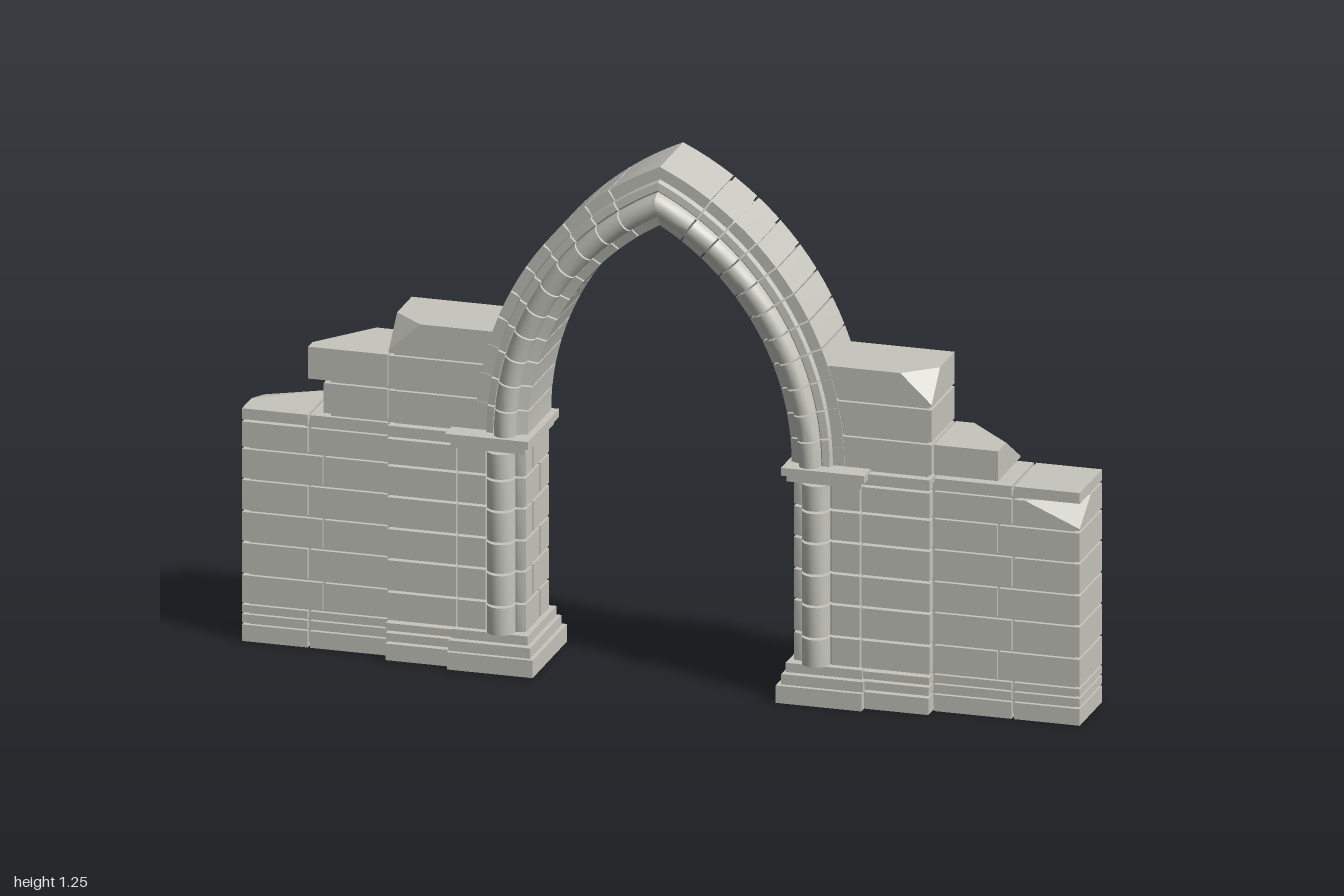
import * as THREE from 'three';
import { toCreasedNormals } from 'three/addons/utils/BufferGeometryUtils.js';
import { ConvexGeometry } from 'three/addons/geometries/ConvexGeometry.js';

const stone = new THREE.MeshStandardMaterial({ color: 0xc6c6be });
stone.name = 'pale stone';

const GAP = 0.003; // half of a mortar joint
const SPRING = 0.57; // height where the arch starts
const OFFSET = 0.305; // how far each arc centre lies past the middle
const COURSES = [0.09, 0.162, 0.24, 0.315, 0.392, 0.467, 0.533];

function add(group, name, geometry) {
  const mesh = new THREE.Mesh(geometry, stone);
  mesh.name = name;
  group.add(mesh);
  return mesh;
}

// Block between two x, y and z limits, on side s (+1 or -1).
// chip = [corner signs y, z, cut lengths x, y, z] breaks off an outer corner.
function block(group, name, s, x0, x1, y0, y1, z0, z1, chip) {
  if (!chip) {
    const g = new THREE.BoxGeometry(x1 - x0, y1 - y0, z1 - z0);
    g.translate(s * (x0 + x1) / 2, (y0 + y1) / 2, (z0 + z1) / 2);
    return add(group, name, g);
  }
  const [sy, sz, a, b, c] = chip;
  const points = [];
  for (const x of [x0, x1]) for (const y of [y0, y1]) for (const z of [z0, z1]) {
    const broken = x === x1 && y === (sy > 0 ? y1 : y0) && z === (sz > 0 ? z1 : z0);
    if (!broken) points.push(new THREE.Vector3(s * x, y, z));
    else points.push(
      new THREE.Vector3(s * (x - a), y, z),
      new THREE.Vector3(s * x, y - sy * b, z),
      new THREE.Vector3(s * x, y, z - sz * c));
  }
  return add(group, name, new ConvexGeometry(points));
}

// Sweeps a closed profile (u, z) through place(u, t) -> [x, y], t from 0 to 1.
function sweep(profile, steps, s, place) {
  const shape = new THREE.Shape(profile.map(([u, z]) => new THREE.Vector2(u, z)));
  const g = new THREE.ExtrudeGeometry(shape, { depth: 1, steps, bevelEnabled: false });
  const p = g.attributes.position;
  for (let i = 0; i < p.count; i++) {
    const u = p.getX(i), z = p.getY(i), t = p.getZ(i);
    const [x, y] = place(u, s > 0 ? 1 - t : t);
    p.setXYZ(i, s * x, y, z);
  }
  return toCreasedNormals(g, 0.6);
}

// Points of a round roll, running from its outer to its inner side
function roll(u, z, r) {
  const points = [];
  for (let i = 0; i <= 10; i++) {
    const a = -0.2 + (Math.PI + 0.4) * i / 10;
    points.push([u + r * Math.cos(a), z + r * Math.sin(a)]);
  }
  return points;
}

function archHalf(s) {
  const group = new THREE.Group();
  group.name = s > 0 ? 'leftArchHalf' : 'rightArchHalf';
  const profile = [
    [0.62, -0.09], [0.745, -0.09], [0.745, 0.09], [0.718, 0.09], [0.715, 0.105],
    [0.698, 0.107], ...roll(0.669, 0.108, 0.026), [0.638, 0.1], [0.62, 0.092],
  ];
  const core = [[0.63, -0.08], [0.735, -0.08], [0.735, 0.08], [0.69, 0.1], [0.63, 0.08]];
  const arc = (a0, a1) => (r, t) => {
    const end = Math.min(a1, Math.acos(OFFSET / r)); // stops at the middle
    const a = a0 + (end - a0) * t;
    return [r * Math.cos(a) - OFFSET, SPRING + r * Math.sin(a)];
  };
  const step = THREE.MathUtils.degToRad(5.5);
  for (let i = 0; i < 11; i++) {
    const last = i === 10;
    const place = arc(i * step + 0.003, last ? 2 : (i + 1) * step - 0.003);
    add(group, last ? 'crownStone' : 'archStone', sweep(profile, last ? 4 : 2, s, place));
  }
  add(group, 'archCore', sweep(core, 24, s, arc(0, 2)));
  return group;
}

function pillar(s) {
  const group = new THREE.Group();
  group.name = s > 0 ? 'leftPillar' : 'rightPillar';
  // Courses of a back stone and a front stone with an engaged column
  for (let i = 0; i < COURSES.length - 1; i++) {
    const y0 = COURSES[i] + GAP, y1 = COURSES[i + 1] - GAP;
    const split = i % 2 ? 0.035 : -0.02;
    block(group, 'pillarBackStone', s, 0.32, 0.48, y0, y1, -0.09, split - GAP);
    const front = [
      [0.32, split + GAP], [0.48, split + GAP], [0.48, 0.1], [0.413, 0.1],
      ...roll(0.376, 0.1, 0.033), [0.338, 0.095], [0.32, 0.09],
    ];
    add(group, 'pillarColumnStone', sweep(front, 1, s, (u, t) => [u, y0 + (y1 - y0) * t]));
  }
  block(group, 'pillarCore', s, 0.33, 0.475, 0.01, 0.56, -0.08, 0.08);
  // Stepped base
  block(group, 'plinth', s, 0.29, 0.495, 0, 0.042, -0.132, 0.135);
  block(group, 'baseStep', s, 0.3, 0.495, 0.042, 0.067, -0.12, 0.124);
  block(group, 'baseTop', s, 0.308, 0.49, 0.07, 0.092, -0.108, 0.115);
  // Capital
  block(group, 'capitalNeck', s, 0.312, 0.49, 0.533, 0.549, -0.1, 0.122);
  block(group, 'capitalSlab', s, 0.302, 0.5, 0.549, 0.568, -0.11, 0.132);
  return group;
}

function wall(s) {
  const group = new THREE.Group();
  group.name = s > 0 ? 'leftWall' : 'rightWall';
  // Three low base courses
  for (const [y0, y1, out] of [[0, 0.04, 0.006], [0.045, 0.065, 0.003], [0.07, 0.088, 0]]) {
    block(group, 'innerBaseStone', s, 0.485, 0.648, y0, y1, -0.092 - out, 0.108 + out);
    block(group, 'middleBaseStone', s, 0.652, 0.84 - GAP, y0, y1, -0.09, 0.083);
    block(group, 'outerBaseStone', s, 0.84 + GAP, 1, y0, y1, -0.09, 0.083);
  }
  // Main courses with alternating joints
  for (let i = 0; i < COURSES.length - 1; i++) {
    const y0 = COURSES[i] + GAP, y1 = COURSES[i + 1] - GAP;
    const joint = i % 2 ? 0.84 : 0.805;
    const chip = s > 0 && i === 5 ? [1, 1, 0.13, 0.055, 0.085] : null;
    block(group, 'innerWallStone', s, 0.484, 0.647, y0, y1, -0.09, 0.1);
    block(group, 'middleWallStone', s, 0.653, joint - GAP, y0, y1, -0.09, 0.083);
    block(group, 'outerWallStone', s, joint + GAP, 1, y0, y1, -0.09, 0.083, chip);
  }
  block(group, 'wallCore', s, 0.47, 0.85, 0.01, 0.55, -0.08, 0.073);
  block(group, 'outerCore', s, 0.84, 0.985, 0.01, 0.47, -0.08, 0.073);
  // Thin top course
  block(group, 'innerCapStone', s, 0.49, 0.647, 0.536, 0.562, -0.09, 0.1);
  block(group, 'middleCapStone', s, 0.653, 0.84 - GAP, 0.536, 0.562, -0.09, 0.083);
  block(group, 'outerCapStone', s, 0.84 + GAP, 1, 0.536, 0.562, -0.09, 0.083,
    s > 0 ? null : [1, -1, 0.14, 0.024, 0.1]);
  // Stones beside the arch
  block(group, 'shoulderStone', s, 0.39, 0.648, 0.571, 0.643, -0.09, 0.088);
  block(group, 'shoulderStone', s, 0.38, 0.648, 0.65, 0.727, -0.09, 0.088);
  block(group, 'shoulderTopStone', s, 0.37, 0.648, 0.734, 0.81, -0.09, 0.088,
    [1, 1, 0.075, 0.07, 0.065]);
  block(group, 'shoulderCore', s, 0.39, 0.638, 0.55, 0.74, -0.08, 0.078);
  // Broken step further out
  if (s > 0) {
    block(group, 'brokenStone', s, 0.652, 0.805, 0.571, 0.643, -0.09, 0.083,
      [1, -1, 0.11, 0.068, 0.11]);
  } else {
    block(group, 'stepStone', s, 0.652, 0.805, 0.571, 0.643, -0.09, 0.083);
    block(group, 'brokenStone', s, 0.652, 0.842, 0.65, 0.727, -0.09, 0.083,
      [1, -1, 0.11, 0.072, 0.14]);
    block(group, 'stepCore', s, 0.64, 0.79, 0.55, 0.66, -0.08, 0.073);
  }
  return group;
}

export function createModel() {
  const model = new THREE.Group();
  model.name = 'ruinedStoneArch';
  for (const s of [1, -1]) model.add(archHalf(s), pillar(s), wall(s));
  return model;
}
